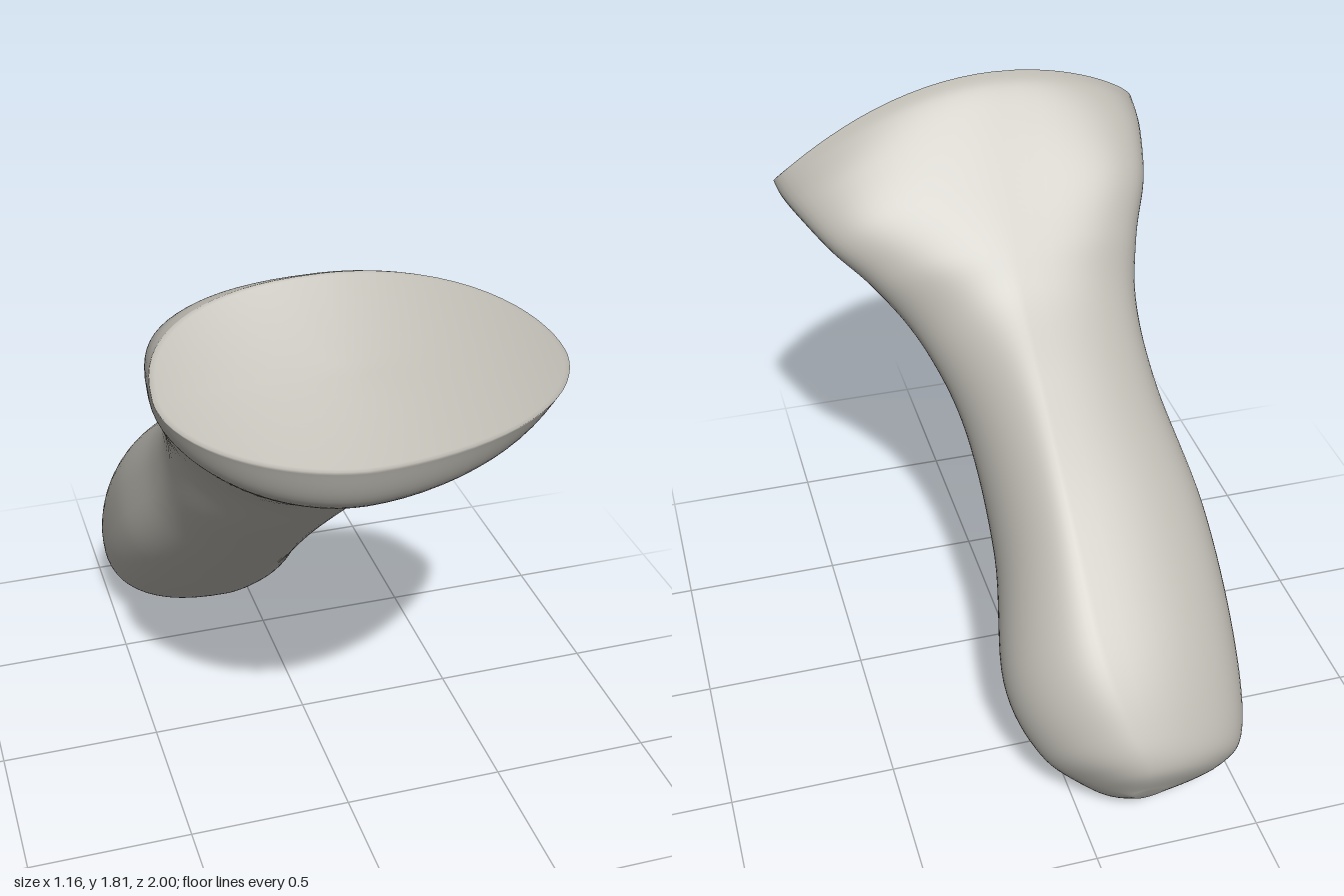
import * as THREE from 'three';

const SIDES = 72, STEPS = 8;

// Sections along the slanted shaft, foot to rim:
// upper z, upper y, lower z, lower y, min x, max x, sag at min x, sag at max x,
// x of the lengthwise ridge, upper and lower roundness on the -x side, lift of both side edges
const SECTIONS = [
  [-0.955, 0.19, -0.91, 0.11, -0.22, -0.13, 0, 0, -0.17, 1, 1, 0],
  [-0.998, 0.31, -0.78, 0.00, -0.41, -0.01, 0, -0.03, -0.16, 1, 0.9, 0],
  [-0.95, 0.43, -0.63, 0.05, -0.50, 0.11, 0.04, -0.01, -0.12, 0.95, 0.85, 0],
  [-0.80, 0.62, -0.45, 0.20, -0.525, 0.178, 0, 0, -0.07, 0.8, 0.76, 0],
  [-0.50, 0.90, -0.20, 0.44, -0.515, 0.13, 0, 0, -0.06, 0.75, 0.75, 0],
  [-0.20, 1.14, 0.08, 0.71, -0.458, 0.14, 0, 0, -0.06, 0.75, 0.75, 0],
  [0.00, 1.30, 0.28, 0.90, -0.45, 0.215, 0, 0, -0.06, 0.75, 0.75, 0.06],
  [0.12, 1.43, 0.48, 1.09, -0.48, 0.345, 0, 0.03, -0.06, 0.75, 0.8, 0.25],
  [0.25, 1.57, 0.65, 1.20, -0.53, 0.455, 0.03, 0.10, -0.07, 0.75, 0.88, 0.38],
  [0.37, 1.70, 0.81, 1.295, -0.56, 0.53, 0.06, 0.15, -0.09, 0.75, 0.98, 0.3],
  [0.455, 1.785, 0.94, 1.38, -0.575, 0.565, 0.10, 0.20, -0.10, 0.76, 1.05, 0.18],
  [0.505, 1.81, 0.998, 1.51, -0.58, 0.58, 0.12, 0.235, -0.10, 0.78, 1.1, 0.08],
];

// Smooth interpolation of every section value
function sectionAt(t) {
  const last = SECTIONS.length - 1;
  const i = Math.min(Math.floor(t), last - 1), f = t - i;
  const at = k => SECTIONS[Math.max(0, Math.min(last, k))];
  return SECTIONS[0].map((_, k) => {
    const a = at(i - 1)[k], b = at(i)[k], c = at(i + 1)[k], d = at(i + 2)[k];
    return b + 0.5 * f * (c - a + f * (2 * a - 5 * b + 4 * c - d + f * (3 * (b - c) + d - a)));
  });
}

// One ring: boxy towards -x, tapering towards +x from a lengthwise ridge
function ring([uz, uy, lz, ly, x0, x1, sag0, sag1, ridge, up, low, lift], scale = 1, dip = 0) {
  const points = [];
  for (let j = 0; j < SIDES; j++) {
    const a = (j / SIDES) * Math.PI * 2;
    const c = Math.cos(a), s = Math.sin(a);
    const power = c > 0 ? 1.1 : s > 0 ? up : low;
    const w = Math.abs(c) ** power * scale;
    const v = Math.sign(s) * Math.abs(s) ** power * scale + lift * w * w;
    const x = ridge + w * (c < 0 ? x0 - ridge : x1 - ridge);
    const sag = (c < 0 ? sag0 : sag1) * w * w + dip;
    points.push([
      x,
      (uy + ly) / 2 + v * (uy - ly) / 2 - sag * 0.7,
      (uz + lz) / 2 + v * (uz - lz) / 2 - sag * 0.7,
    ]);
  }
  return points;
}

// Skin a list of rings, closing both ends with a centre point
function loft(rings) {
  const centre = r => [0, 1, 2].map(k => r.reduce((n, p) => n + p[k], 0) / r.length);
  const points = rings.flat(), index = [];
  for (let i = 0; i < rings.length - 1; i++) {
    for (let j = 0; j < SIDES; j++) {
      const n = (j + 1) % SIDES;
      const a = i * SIDES + j, b = i * SIDES + n;
      index.push(a, b, a + SIDES, b, b + SIDES, a + SIDES);
    }
  }
  const start = points.push(centre(rings[0])) - 1;
  const end = points.push(centre(rings[rings.length - 1])) - 1;
  const top = (rings.length - 1) * SIDES;
  for (let j = 0; j < SIDES; j++) {
    const n = (j + 1) % SIDES;
    index.push(start, n, j, end, top + j, top + n);
  }
  const geometry = new THREE.BufferGeometry();
  geometry.setAttribute('position', new THREE.Float32BufferAttribute(points.flat(), 3));
  geometry.setIndex(index);
  geometry.computeVertexNormals();
  return geometry;
}

export function createModel() {
  const group = new THREE.Group();
  group.name = 'flaredHandle';
  const stone = new THREE.MeshStandardMaterial({ color: 0xbdbab2 });
  stone.name = 'warmGrey';

  // Slanted shaft with rounded foot, flaring out to the rim
  const rings = [];
  const count = (SECTIONS.length - 1) * STEPS;
  for (let i = 0; i <= count; i++) rings.push(ring(sectionAt(i / STEPS)));

  // Shallow oval cap closing the flared head
  const rim = SECTIONS[SECTIONS.length - 1];
  for (const s of [0.97, 0.92, 0.84, 0.72, 0.58, 0.42, 0.25, 0.1]) {
    rings.push(ring(rim, s, 0.015 * (1 - s * s)));
  }

  const body = new THREE.Mesh(loft(rings), stone);
  body.name = 'handleBody';
  group.add(body);
  return group;
}
